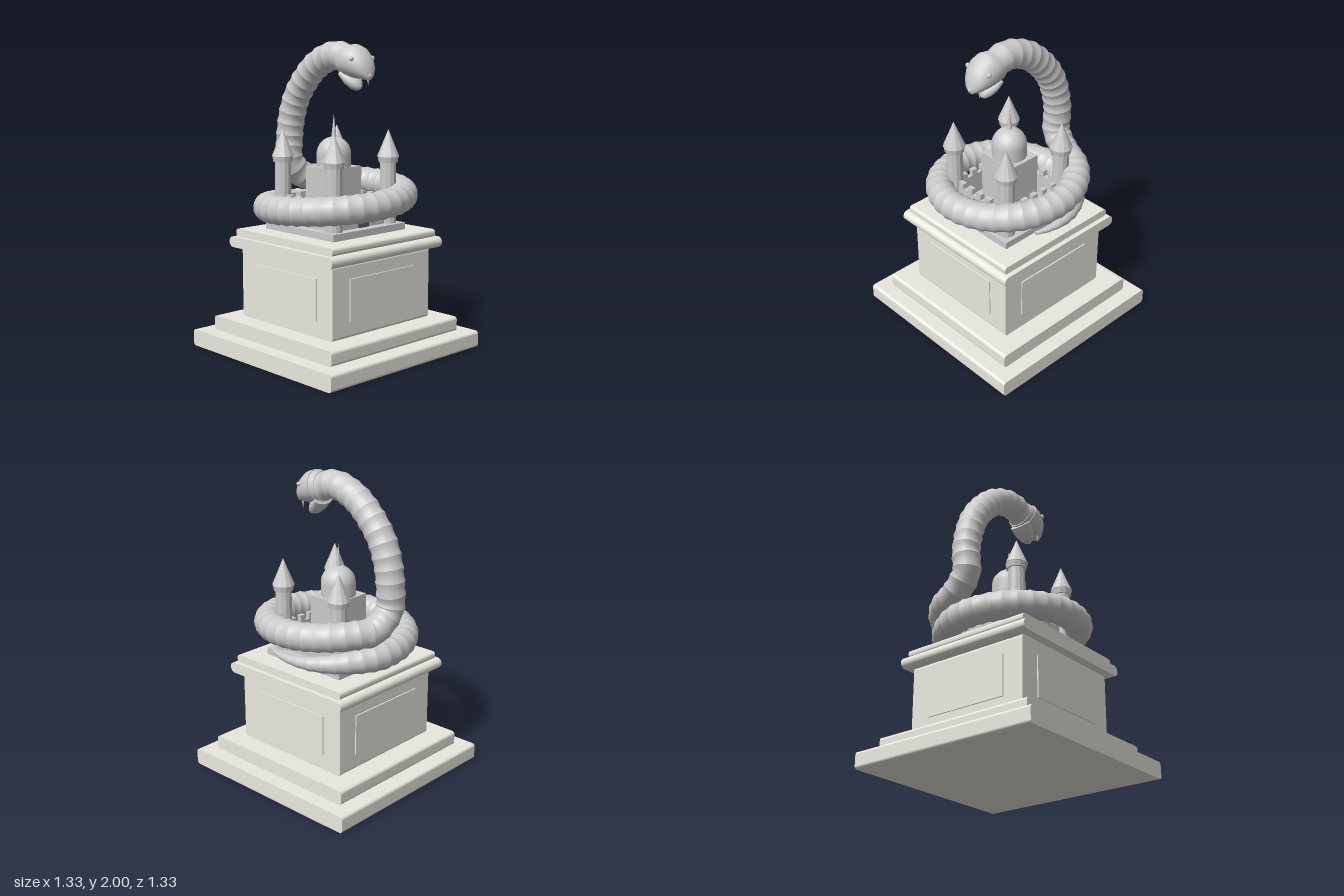
import * as THREE from 'three';
import { mergeGeometries } from 'three/addons/utils/BufferGeometryUtils.js';

const grey = new THREE.MeshStandardMaterial({ color: 0xcccccc });
const facet = new THREE.MeshStandardMaterial({ color: 0xcccccc, flatShading: true });
const stone = new THREE.MeshStandardMaterial({ color: 0xeae9e0 });
const dark = new THREE.MeshStandardMaterial({ color: 0x5a6068 });
const white = new THREE.MeshStandardMaterial({ color: 0xffffff });

function add(parent, name, geometry, material, x = 0, y = 0, z = 0) {
  const mesh = new THREE.Mesh(geometry, material);
  mesh.name = name;
  mesh.position.set(x, y, z);
  parent.add(mesh);
  return mesh;
}

// Box standing on y0, centred on x and z
function block(parent, name, w, y0, y1, d, material, x = 0, z = 0) {
  return add(parent, name, new THREE.BoxGeometry(w, y1 - y0, d), material, x, (y0 + y1) / 2, z);
}

// Square slab whose rounded profile runs along x
function slab(parent, name, half, y0, y1, r) {
  const s = new THREE.Shape();
  s.moveTo(-half + r, y0);
  s.absarc(half - r, y0 + r, r, -Math.PI / 2, 0);
  s.absarc(half - r, y1 - r, r, 0, Math.PI / 2);
  s.absarc(-half + r, y1 - r, r, Math.PI / 2, Math.PI);
  s.absarc(-half + r, y0 + r, r, Math.PI, Math.PI * 1.5);
  const g = new THREE.ExtrudeGeometry(s, { depth: half * 2, bevelEnabled: false, curveSegments: 5 });
  g.translate(0, 0, -half).rotateY(Math.PI / 2);
  add(parent, name, g, stone);
}

// Skin over closed rings of equal point count, with optional end caps
function loft(rings, capStart = false, capEnd = false) {
  const n = rings[0].length, pos = [], idx = [];
  rings.flat().forEach(p => pos.push(p.x, p.y, p.z));
  for (let i = 0; i < rings.length - 1; i++) {
    for (let j = 0; j < n; j++) {
      const a = i * n + j, b = i * n + (j + 1) % n;
      idx.push(a, b, a + n, b, b + n, a + n);
    }
  }
  const cap = (ring, flip) => {
    const start = pos.length / 3;
    ring.forEach(p => pos.push(p.x, p.y, p.z));
    for (let j = 1; j < n - 1; j++) {
      idx.push(start, start + (flip ? j + 1 : j), start + (flip ? j : j + 1));
    }
  };
  if (capStart) cap(rings[0], true);
  if (capEnd) cap(rings[rings.length - 1], false);
  const g = new THREE.BufferGeometry();
  g.setAttribute('position', new THREE.Float32BufferAttribute(pos, 3));
  g.setIndex(idx);
  g.computeVertexNormals();
  return g;
}

function ring(center, u, v, n) {
  return Array.from({ length: n }, (_, j) => {
    const t = (j / n) * Math.PI * 2;
    return center.clone().addScaledVector(u, Math.cos(t)).addScaledVector(v, Math.sin(t));
  });
}

// Elliptic sections: [top z, top y, bottom z, bottom y, half width]
function sectionLoft(sections) {
  return loft(sections.map(([tz, ty, bz, by, w]) => ring(
    new THREE.Vector3(0, (ty + by) / 2, (tz + bz) / 2),
    new THREE.Vector3(w, 0, 0),
    new THREE.Vector3(0, (ty - by) / 2, (tz - bz) / 2), 20)), true, true);
}

function makePedestal() {
  const g = new THREE.Group();
  g.name = 'pedestal';
  slab(g, 'base', 0.665, 0, 0.11, 0.02);
  slab(g, 'step', 0.565, 0.11, 0.205, 0.02);
  slab(g, 'die', 0.43, 0.205, 0.67, 0.02);
  slab(g, 'cornice', 0.49, 0.67, 0.74, 0.033);
  slab(g, 'cap', 0.458, 0.74, 0.79, 0.02);
  block(g, 'frontBackPanels', 0.58, 0.31, 0.575, 0.876, stone);
  block(g, 'sidePanels', 0.876, 0.31, 0.575, 0.58, stone);
  return g;
}

function makeCastle() {
  const g = new THREE.Group();
  g.name = 'castle';
  block(g, 'castleFloor', 0.64, 0.79, 0.835, 0.64, grey);
  // Four walls with battlements
  for (let i = 0; i < 4; i++) {
    const side = new THREE.Group();
    side.name = 'wall';
    side.rotation.y = i * Math.PI / 2;
    block(side, 'wallFace', 0.48, 0.83, 0.98, 0.03, grey, 0, 0.24);
    for (let k = -2; k <= 2; k++) block(side, 'merlon', 0.042, 0.98, 1.02, 0.032, grey, k * 0.083, 0.24);
    g.add(side);
  }
  // Corner towers
  for (const x of [-0.24, 0.24]) for (const z of [-0.24, 0.24]) {
    add(g, 'tower', new THREE.CylinderGeometry(0.053, 0.055, 0.41, 12), facet, x, 1.03, z);
    add(g, 'towerCollar', new THREE.CylinderGeometry(0.07, 0.063, 0.04, 12), facet, x, 1.25, z);
    add(g, 'towerRoof', new THREE.ConeGeometry(0.073, 0.175, 12), facet, x, 1.355, z);
  }
  // Central keep, dome and spire
  block(g, 'keep', 0.27, 0.83, 1.2, 0.235, grey, 0, -0.017);
  add(g, 'drum', new THREE.CylinderGeometry(0.113, 0.113, 0.08, 20), grey, 0, 1.24, -0.015);
  add(g, 'dome', new THREE.SphereGeometry(0.113, 20, 8, 0, Math.PI * 2, 0, Math.PI / 2), grey, 0, 1.28, -0.015);
  add(g, 'spire', new THREE.ConeGeometry(0.018, 0.16, 8), facet, 0, 1.46, -0.015);
  block(g, 'gate', 0.09, 0.835, 0.96, 0.02, dark, 0, 0.252);
  return g;
}

function makeSerpent() {
  const g = new THREE.Group();
  g.name = 'serpent';
  // Path: tail tip, coil round the castle, then the arched neck
  const pts = [], start = -0.35, end = Math.PI * 2.5 - 0.28, steps = 44;
  for (let i = 0; i <= steps; i++) {
    const a = start + (end - start) * i / steps;
    const y = 0.915 + 0.0279 * Math.max(a - Math.PI / 2, -1.25);
    pts.push(new THREE.Vector3(0.44 * Math.cos(a), y, -0.44 * Math.sin(a)));
  }
  [[1.2, -0.445], [1.35, -0.45], [1.5, -0.425], [1.63, -0.375], [1.75, -0.285], [1.85, -0.17],
    [1.905, -0.04], [1.91, 0.04], [1.885, 0.115]].forEach(([y, z]) => pts.push(new THREE.Vector3(0, y, z)));
  const curve = new THREE.CatmullRomCurve3(pts);
  curve.arcLengthDivisions = 1000;

  // Body segments, flared where they meet
  const segs = 60, sub = 4, total = segs * sub;
  const length = curve.getLength();
  const frames = curve.computeFrenetFrames(total, false);
  const bodyRing = i => {
    const s = (i / total) * length;
    const flare = 1.04 - 0.075 * Math.sin(Math.PI * (i % sub) / sub);
    const r = (0.012 + 0.078 * Math.min(1, s / 0.75)) * flare;
    return ring(curve.getPointAt(i / total), frames.normals[i].clone().multiplyScalar(r),
      frames.binormals[i].clone().multiplyScalar(r), 20);
  };
  const parts = [];
  for (let k = 0; k < segs; k++) {
    const rings = [];
    for (let i = 0; i <= sub; i++) rings.push(bodyRing(k * sub + i));
    parts.push(loft(rings, k === 0, k === segs - 1));
  }
  add(g, 'body', mergeGeometries(parts), grey);

  // Head with open jaws
  add(g, 'neckCollar', sectionLoft([
    [0.13, 1.98, 0.085, 1.79, 0.095], [0.18, 1.98, 0.118, 1.79, 0.102]]), white);
  add(g, 'head', sectionLoft([
    [0.178, 1.985, 0.112, 1.785, 0.107], [0.235, 1.965, 0.16, 1.775, 0.106],
    [0.278, 1.92, 0.205, 1.77, 0.096], [0.303, 1.865, 0.245, 1.767, 0.075],
    [0.314, 1.815, 0.283, 1.763, 0.044], [0.312, 1.775, 0.303, 1.762, 0.014]]), grey);
  add(g, 'lowerJaw', sectionLoft([
    [0.13, 1.83, 0.09, 1.775, 0.08], [0.175, 1.795, 0.13, 1.725, 0.07],
    [0.21, 1.765, 0.165, 1.7, 0.052], [0.225, 1.73, 0.195, 1.694, 0.03],
    [0.222, 1.71, 0.212, 1.698, 0.008]]), grey);
  add(g, 'nose', new THREE.SphereGeometry(0.02, 12, 8), grey, 0, 1.79, 0.3);
  for (const side of [-1, 1]) {
    add(g, 'eye', new THREE.SphereGeometry(0.016, 12, 8), grey, side * 0.091, 1.895, 0.238);
    add(g, 'fang', new THREE.ConeGeometry(0.009, 0.05, 8), white, side * 0.032, 1.75, 0.262).rotation.x = Math.PI;
  }
  return g;
}

export function createModel() {
  const model = new THREE.Group();
  model.name = 'serpentMonument';
  model.add(makePedestal(), makeCastle(), makeSerpent());
  return model;
}
